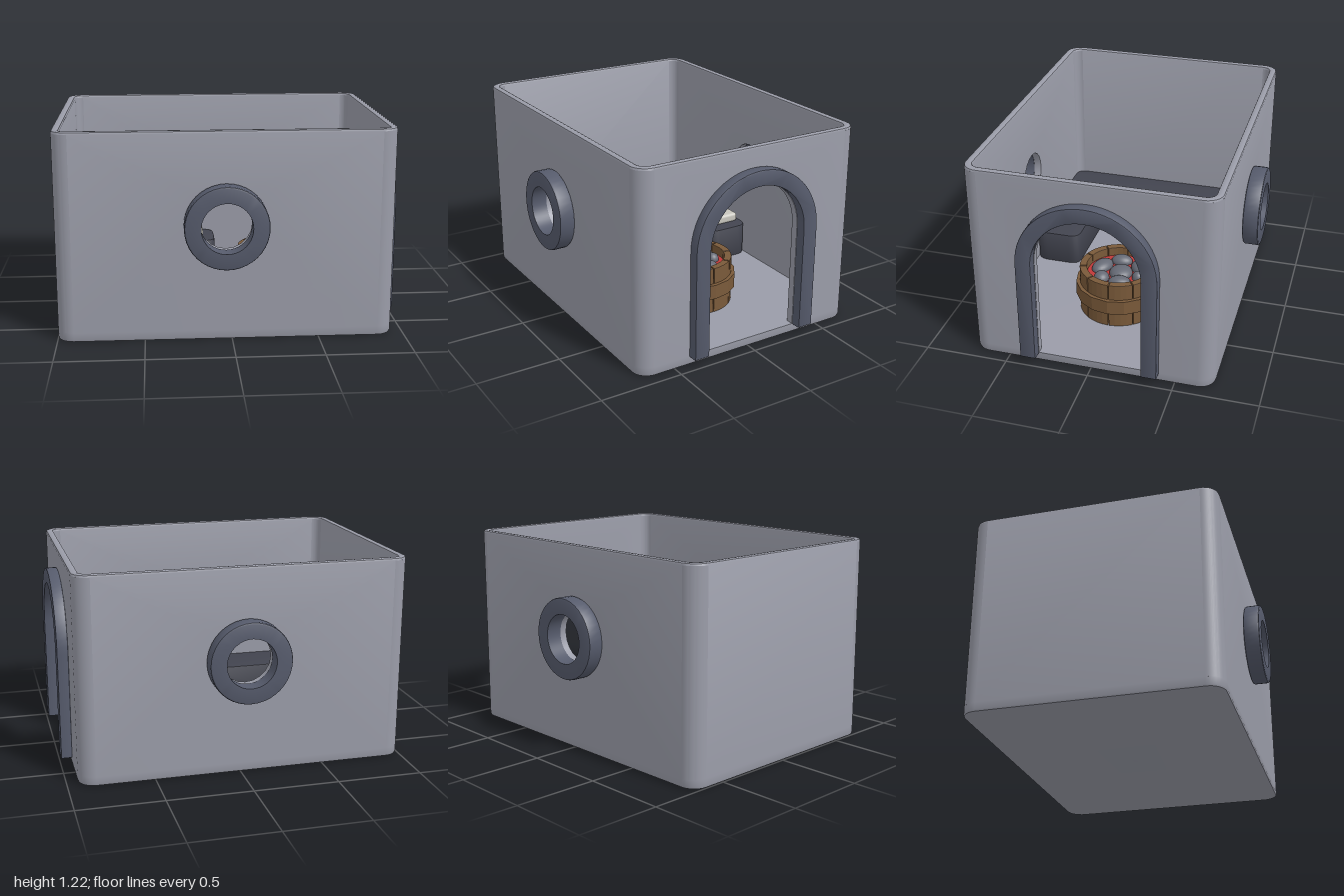
import * as THREE from 'three';
import { mergeGeometries, toCreasedNormals } from 'three/addons/utils/BufferGeometryUtils.js';
import { RoundedBoxGeometry } from 'three/addons/geometries/RoundedBoxGeometry.js';

const CX = -0.0325, HW = 0.9675, HD = 0.725; // room centre and half sizes
const R = 0.095, T = 0.045;                  // corner radius, wall thickness
const FLOOR = 0.055, RIM = 1.2, TOP = 1.215;
const WIN = { x: -0.035, y: 0.68, r: 0.145 };
const SPRING = 0.69, DOOR = 0.315;           // door arch spring line and half width

const mat = (color, extra = {}) => new THREE.MeshStandardMaterial({ color, ...extra });

function add(parent, name, geometry, material, x = 0, y = 0, z = 0) {
  const mesh = new THREE.Mesh(geometry, material);
  mesh.name = name;
  mesh.position.set(x, y, z);
  parent.add(mesh);
  return mesh;
}

// Keep positions only, so that unlike geometries can be merged
function bare(g) {
  const out = g.index ? g.toNonIndexed() : g.clone();
  for (const key of Object.keys(out.attributes)) if (key !== 'position') out.deleteAttribute(key);
  return out;
}

function extrude(shape, depth, bevel = 0, curveSegments = 16) {
  return new THREE.ExtrudeGeometry(shape, {
    depth: depth - 2 * bevel, curveSegments, bevelEnabled: bevel > 0,
    bevelSize: bevel, bevelThickness: bevel, bevelOffset: -bevel, bevelSegments: 2,
  }).translate(0, 0, bevel);
}

// Rounded-rectangle loops; each profile row is [inset, height, scale]
function loft(profile) {
  const pos = [], idx = [], S = 8, n = 4 * (S + 1);
  for (const [inset, y, k = 1] of profile) {
    for (let q = 0; q < 4; q++) {
      const sx = q === 0 || q === 3 ? 1 : -1, sz = q < 2 ? -1 : 1;
      for (let i = 0; i <= S; i++) {
        const a = (q + i / S) * Math.PI / 2;
        pos.push(CX + k * (sx * (HW - R) + (R - inset) * Math.cos(a)), y,
          k * (sz * (HD - R) - (R - inset) * Math.sin(a)));
      }
    }
  }
  for (let j = 0; j < profile.length - 1; j++) {
    for (let i = 0; i < n; i++) {
      const a = j * n + i, b = j * n + (i + 1) % n;
      idx.push(a, b, b + n, a, b + n, a + n);
    }
  }
  const g = new THREE.BufferGeometry();
  g.setAttribute('position', new THREE.Float32BufferAttribute(pos, 3));
  g.setIndex(idx);
  return g;
}

function polygon(points) {
  return new THREE.Shape(points.map(([x, y]) => new THREE.Vector2(x, y)));
}

// Polygon with rounded corners; each point is [x, y, radius]
function roundedPolygon(points) {
  const s = new THREE.Shape(), n = points.length;
  const toward = (p, q, d) => new THREE.Vector2(p[0], p[1]).add(
    new THREE.Vector2(q[0] - p[0], q[1] - p[1]).setLength(d));
  points.forEach((p, i) => {
    const a = toward(p, points[(i + n - 1) % n], p[2]), b = toward(p, points[(i + 1) % n], p[2]);
    if (i) s.lineTo(a.x, a.y); else s.moveTo(a.x, a.y);
    s.quadraticCurveTo(p[0], p[1], b.x, b.y);
  });
  s.closePath();
  return s;
}

function roomShell() {
  const w = HW - R, d = HD - R, h = RIM - FLOOR, parts = [];
  // Floor slab and rounded top rim
  parts.push(loft([[0.015, 0, 0], [0.015, 0], [0.004, 0.004], [0, 0.015], [0, FLOOR], [T, FLOOR], [T, FLOOR, 0]]));
  parts.push(loft([[0, RIM], [0.004, TOP - 0.004], [0.015, TOP], [T - 0.015, TOP], [T - 0.004, TOP - 0.004], [T, RIM]]));
  // Front and back walls, each with a round window
  const side = polygon([[CX - w, FLOOR], [CX + w, FLOOR], [CX + w, RIM], [CX - w, RIM]]);
  side.holes.push(new THREE.Path().absarc(WIN.x, WIN.y, WIN.r + 0.004, 0, Math.PI * 2, true));
  for (const z of [HD - T, -HD]) parts.push(extrude(side, T, 0, 10).translate(0, 0, z));
  // Plain end wall
  parts.push(new THREE.BoxGeometry(T, h, 2 * d).translate(CX - HW + T / 2, FLOOR + h / 2, 0));
  // Door wall
  const door = polygon([[-d, RIM], [-d, FLOOR], [-DOOR, FLOOR], [-DOOR, SPRING]]);
  door.absarc(0, SPRING, DOOR, Math.PI, 0, true);
  door.lineTo(DOOR, FLOOR).lineTo(d, FLOOR).lineTo(d, RIM);
  parts.push(extrude(door, T).rotateY(Math.PI / 2).translate(CX + HW - T, 0, 0));
  // Rounded corners
  for (let q = 0; q < 4; q++) {
    const a = q * Math.PI / 2, corner = new THREE.Shape();
    corner.absarc(0, 0, R, a, a + Math.PI / 2, false);
    corner.absarc(0, 0, R - T, a + Math.PI / 2, a, true);
    parts.push(extrude(corner, h, 0, 8).rotateX(-Math.PI / 2)
      .translate(CX + (q === 0 || q === 3 ? w : -w), FLOOR, q < 2 ? -d : d));
  }
  return toCreasedNormals(mergeGeometries(parts.map(bare)), 0.6);
}

function windowRing() {
  const depth = 0.095, outer = 0.24, b = 0.012;
  const profile = [[WIN.r, 0], [outer - b, 0], [outer - b * 0.3, b * 0.3], [outer, b], [outer, depth - b],
    [outer - b * 0.3, depth - b * 0.3], [outer - b, depth], [WIN.r, depth], [WIN.r, 0]];
  const g = new THREE.LatheGeometry(profile.map(([x, y]) => new THREE.Vector2(x, y)), 40);
  return toCreasedNormals(bare(g.rotateX(Math.PI / 2)), 0.6);
}

function doorFrame() {
  const outer = 0.408, s = polygon([[-outer, FLOOR], [-outer, SPRING]]);
  s.absarc(0, SPRING, outer, Math.PI, 0, true);
  s.lineTo(outer, FLOOR).lineTo(DOOR, FLOOR).lineTo(DOOR, SPRING);
  s.absarc(0, SPRING, DOOR, 0, Math.PI, false);
  s.lineTo(-DOOR, FLOOR);
  return toCreasedNormals(bare(extrude(s, 0.065, 0.006).rotateY(Math.PI / 2)), 0.6);
}

// Round fire tub made of staves, a hoop, an ember bed and stones
function fireTub() {
  const tub = new THREE.Group();
  tub.name = 'fireTub';
  const wood = mat(0x7a5a3a, { flatShading: true }), stone = mat(0x666a75);
  const count = 10, step = Math.PI * 2 / count, gap = 0.012;
  const s = new THREE.Shape();
  s.absarc(0, 0, 0.242, gap, step - gap, false);
  s.absarc(0, 0, 0.198, step - gap, gap, true);
  const staveGeometry = extrude(s, 0.29, 0.004, 2).rotateX(-Math.PI / 2);
  for (let i = 0; i < count; i++) add(tub, 'stave', staveGeometry, wood).rotation.y = i * step;
  const hoop = [[0.236, 0.1], [0.266, 0.1], [0.266, 0.19], [0.236, 0.19], [0.236, 0.1]];
  add(tub, 'hoop', new THREE.LatheGeometry(hoop.map(([x, y]) => new THREE.Vector2(x, y)), 16), wood);
  add(tub, 'emberBed', new THREE.CylinderGeometry(0.2, 0.2, 0.235, 32), mat(0xc03a3a), 0, 0.1175, 0);
  // x, z, half length, half width, turn
  const stones = [[-0.065, -0.115, 0.074, 0.05, 0.65], [0.035, -0.13, 0.038, 0.038, 0],
    [-0.12, 0.015, 0.048, 0.067, 0.1], [0.01, -0.015, 0.075, 0.072, 0], [0.12, -0.035, 0.052, 0.07, 0.25],
    [-0.03, 0.115, 0.08, 0.055, -0.4], [0.095, 0.085, 0.052, 0.048, 0]];
  const ball = new THREE.SphereGeometry(1, 24, 16);
  for (const [x, z, a, b, turn] of stones) {
    const m = add(tub, 'stone', ball, stone, x, 0.24, z);
    m.scale.set(a, 0.042, b);
    m.rotation.y = turn;
  }
  tub.position.set(0.33, FLOOR, 0);
  return tub;
}

export function createModel() {
  const model = new THREE.Group();
  model.name = 'room';
  const trim = mat(0x565b6c);

  add(model, 'roomShell', roomShell(), mat(0x9a9ca8));

  const ring = windowRing();
  add(model, 'frontWindowFrame', ring, trim, WIN.x, WIN.y, HD);
  add(model, 'backWindowFrame', ring, trim, WIN.x, WIN.y, -HD - 0.095);
  add(model, 'doorFrame', doorFrame(), trim, CX + HW, 0, 0);

  // U-shaped bench along three walls, outlined as [x, -z, radius]
  const bench = roundedPolygon([[-0.957, -0.682, 0.07], [-0.035, -0.682, 0.08], [-0.035, -0.385, 0.07],
    [-0.64, -0.385, 0.05], [-0.64, 0.395, 0.05], [-0.035, 0.395, 0.07], [-0.035, 0.682, 0.08], [-0.957, 0.682, 0.07]]);
  add(model, 'bench', toCreasedNormals(bare(extrude(bench, 0.212, 0.008, 6).rotateX(-Math.PI / 2)), 0.6),
    mat(0x42444f), 0, FLOOR, 0);

  // Pair of cushions on the bench
  const cushion = new RoundedBoxGeometry(0.187, 0.06, 0.235, 4, 0.02);
  for (const x of [-0.421, -0.205]) add(model, 'cushion', cushion, mat(0xc8c6be), x, 0.295, -0.538);

  model.add(fireTub());
  return model;
}
